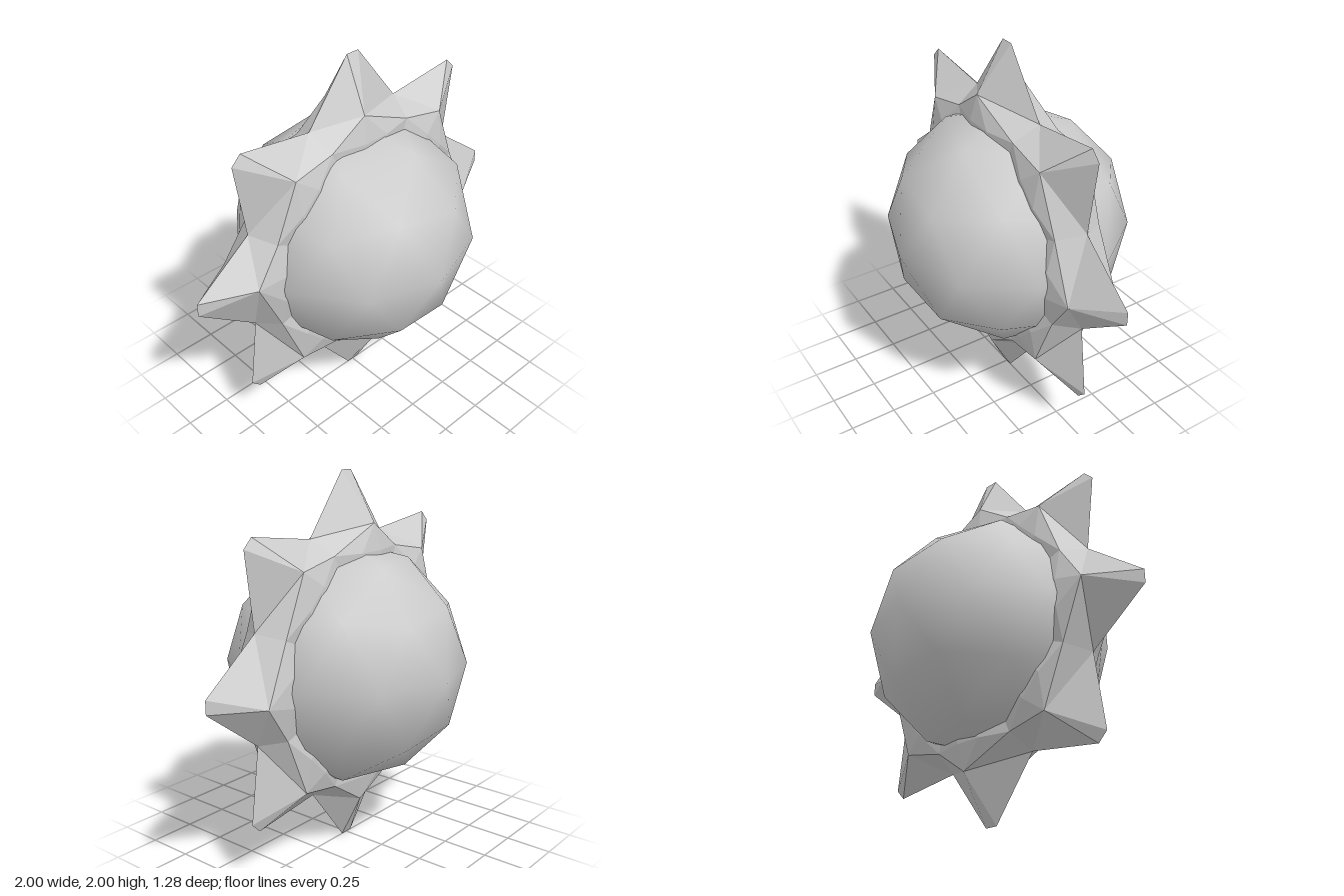
import * as THREE from 'three';

const TIP = 0.036;          // half width of each blunt ray tip
const HALF = Math.PI / 8;   // half of one ray's sector

// One side of the star, as triangles; side = 1 front, -1 back
function starSide(side, out) {
  for (let i = 0; i < 8; i++) {
    const angle = i * Math.PI / 4;
    const skew = i % 4 === 1 || i % 4 === 2 ? 1 : -1; // ridges lean to alternating sides
    const c = Math.cos(angle), s = Math.sin(angle);
    // r along the ray, t across it (counterclockwise), z depth
    const p = (r, t, z) => [r * c - t * s, r * s + t * c, z * side];
    const polar = (r, a, z) => p(r * Math.cos(a), r * Math.sin(a), z);

    const tipA = p(1, -TIP, 0), tipB = p(1, TIP, 0);
    const ridge = p(0.738, 0.053 * skew, 0.14);
    const valleyA = polar(0.735, -HALF, 0), valleyB = polar(0.735, HALF, 0);
    const footA = polar(0.653, -HALF, 0.13), footB = polar(0.653, HALF, 0.13);
    const innerA = p(0.6, -0.075, 0.168), innerB = p(0.6, 0.075, 0.168);
    const centre = [0, 0, 0.17 * side];

    const faces = [
      [tipA, tipB, ridge], [tipB, valleyB, ridge], [valleyA, tipA, ridge],
      [ridge, valleyB, footB], [ridge, footB, innerB], [ridge, innerB, innerA],
      [ridge, innerA, footA], [ridge, footA, valleyA],
      [centre, innerA, innerB], [centre, innerB, footB], [centre, footA, innerA],
    ];
    for (const [a, b, d] of faces) out.push(...a, ...(side > 0 ? b : d), ...(side > 0 ? d : b));
  }
}

export function createModel() {
  const group = new THREE.Group();
  group.name = 'spikedSun';

  // Faceted ball with smooth shading, one corner turned straight up
  const ballGeometry = new THREE.IcosahedronGeometry(0.64, 1);
  ballGeometry.rotateZ(-Math.atan(2 / (1 + Math.sqrt(5))));
  const ball = new THREE.Mesh(ballGeometry, new THREE.MeshStandardMaterial({ color: 0xcccccc }));
  ball.name = 'ball';
  ball.position.y = 1;
  group.add(ball);

  // Ring of eight bevelled rays
  const positions = [];
  starSide(1, positions);
  starSide(-1, positions);
  const rayGeometry = new THREE.BufferGeometry();
  rayGeometry.setAttribute('position', new THREE.Float32BufferAttribute(positions, 3));
  rayGeometry.computeVertexNormals();
  const rays = new THREE.Mesh(rayGeometry, new THREE.MeshStandardMaterial({ color: 0xcccccc, flatShading: true }));
  rays.name = 'rays';
  rays.position.y = 1;
  group.add(rays);

  return group;
}
